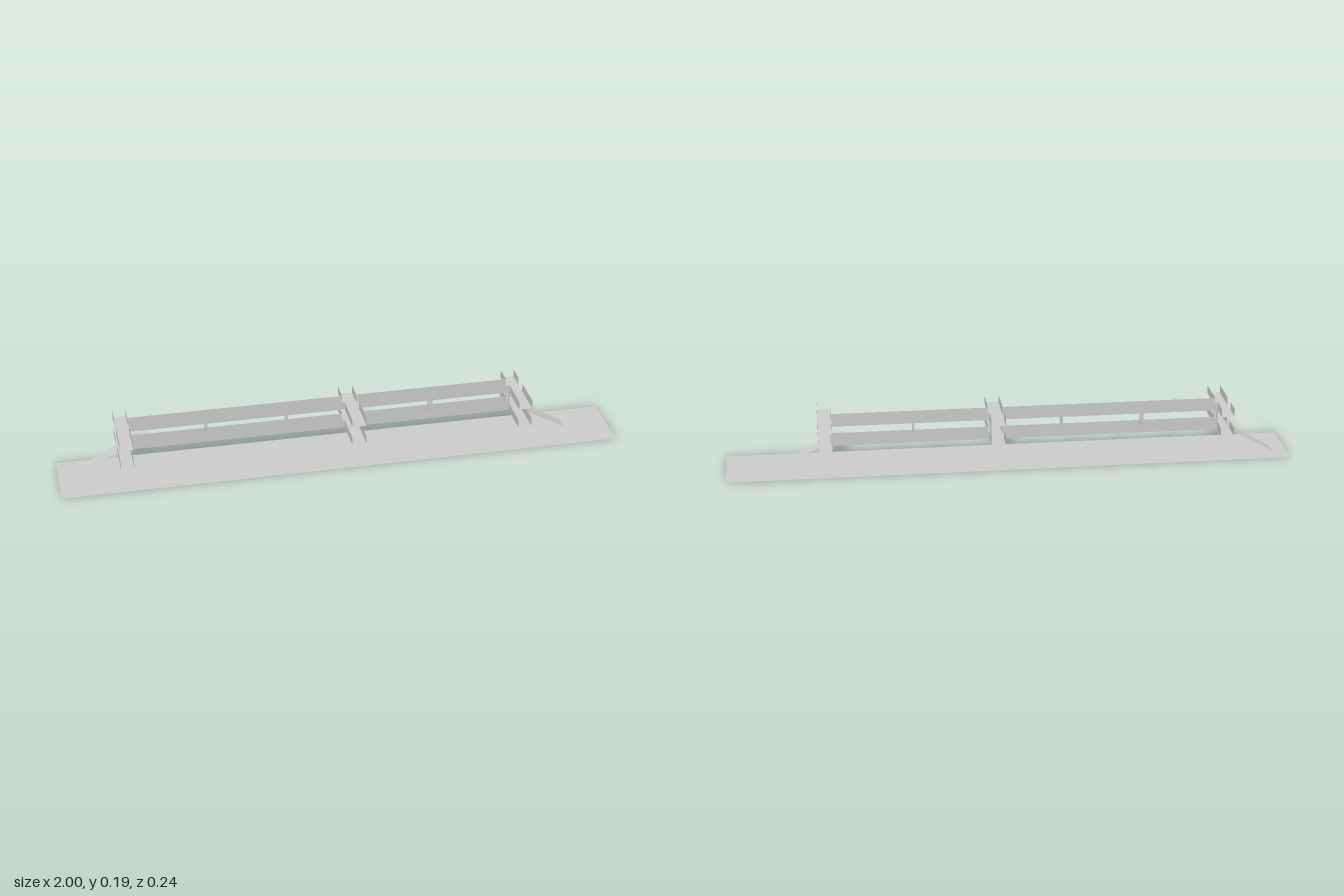
import * as THREE from 'three';

const material = new THREE.MeshStandardMaterial({ color: 0xcccccc, side: THREE.DoubleSide, flatShading: true });

// Corridor limits: inner walls in z, outer arm ends in z, junctions in x
const Z_BACK = -0.052, Z_FRONT = -0.005;
const ARM_BACK = -0.119, ARM_FRONT = 0.122;
const JUNCTIONS = [[-0.79, -0.744], [0.022, 0.073], [0.627, 0.675]];
const LEVELS = [0.093, 0.165];
const WALL = 0.029;

// Thin quad from four corners in order
function quad(name, a, b, c, d) {
  const g = new THREE.BufferGeometry();
  g.setAttribute('position', new THREE.Float32BufferAttribute([...a, ...b, ...c, ...d], 3));
  g.setIndex([0, 1, 2, 0, 2, 3]);
  g.computeVertexNormals();
  const m = new THREE.Mesh(g, material);
  m.name = name;
  return m;
}

const floor = (name, x0, x1, z0, z1, y) =>
  quad(name, [x0, y, z1], [x1, y, z1], [x1, y, z0], [x0, y, z0]);

// Upright wall between two plan points
const wall = (x0, z0, x1, z1, y) =>
  quad('wall', [x0, y, z0], [x1, y, z1], [x1, y + WALL, z1], [x0, y + WALL, z0]);

// One storey: main walkway, crossing arms and their parapets
function createLevel(y) {
  const level = new THREE.Group();
  level.name = 'walkwayLevel';
  level.add(floor('walkwayFloor', JUNCTIONS[0][0], JUNCTIONS[2][1], Z_BACK, Z_FRONT, y));
  for (const [x0, x1] of JUNCTIONS) {
    for (const [z0, z1] of [[ARM_BACK, Z_BACK], [Z_FRONT, ARM_FRONT]]) {
      level.add(floor('armFloor', x0, x1, z0, z1, y));
      for (const x of [x0, x1]) level.add(wall(x, z0, x, z1, y));
    }
  }
  for (let i = 0; i < 2; i++) {
    for (const z of [Z_BACK, Z_FRONT]) level.add(wall(JUNCTIONS[i][1], z, JUNCTIONS[i + 1][0], z, y));
  }
  return level;
}

// Sloping ramp from the ground up to the lower floor
const ramp = (xLow, xHigh) => {
  const y = LEVELS[0] - 0.002, z0 = -0.054, z1 = -0.002;
  const m = xLow < xHigh
    ? quad('ramp', [xLow, 0, z1], [xHigh, y, z1], [xHigh, y, z0], [xLow, 0, z0])
    : quad('ramp', [xHigh, y, z1], [xLow, 0, z1], [xLow, 0, z0], [xHigh, y, z0]);
  return m;
};

export function createModel() {
  const model = new THREE.Group();
  model.name = 'elevatedWalkway';

  model.add(floor('ground', -1, 1, -0.12, 0.12, 0));
  for (const y of LEVELS) model.add(createLevel(y));

  // Paired posts carrying the upper floor
  const height = LEVELS[1] - LEVELS[0];
  const postGeometry = new THREE.BoxGeometry(0.006, height, 0.007);
  for (const x of [-0.743, -0.473, -0.185, 0.068, 0.34, 0.628]) {
    for (const z of [Z_BACK + 0.004, Z_FRONT - 0.004]) {
      const post = new THREE.Mesh(postGeometry, material);
      post.name = 'post';
      post.position.set(x, LEVELS[0] + height / 2, z);
      model.add(post);
    }
  }

  model.add(ramp(-0.95, JUNCTIONS[0][0]), ramp(0.84, JUNCTIONS[2][1]));
  return model;
}
